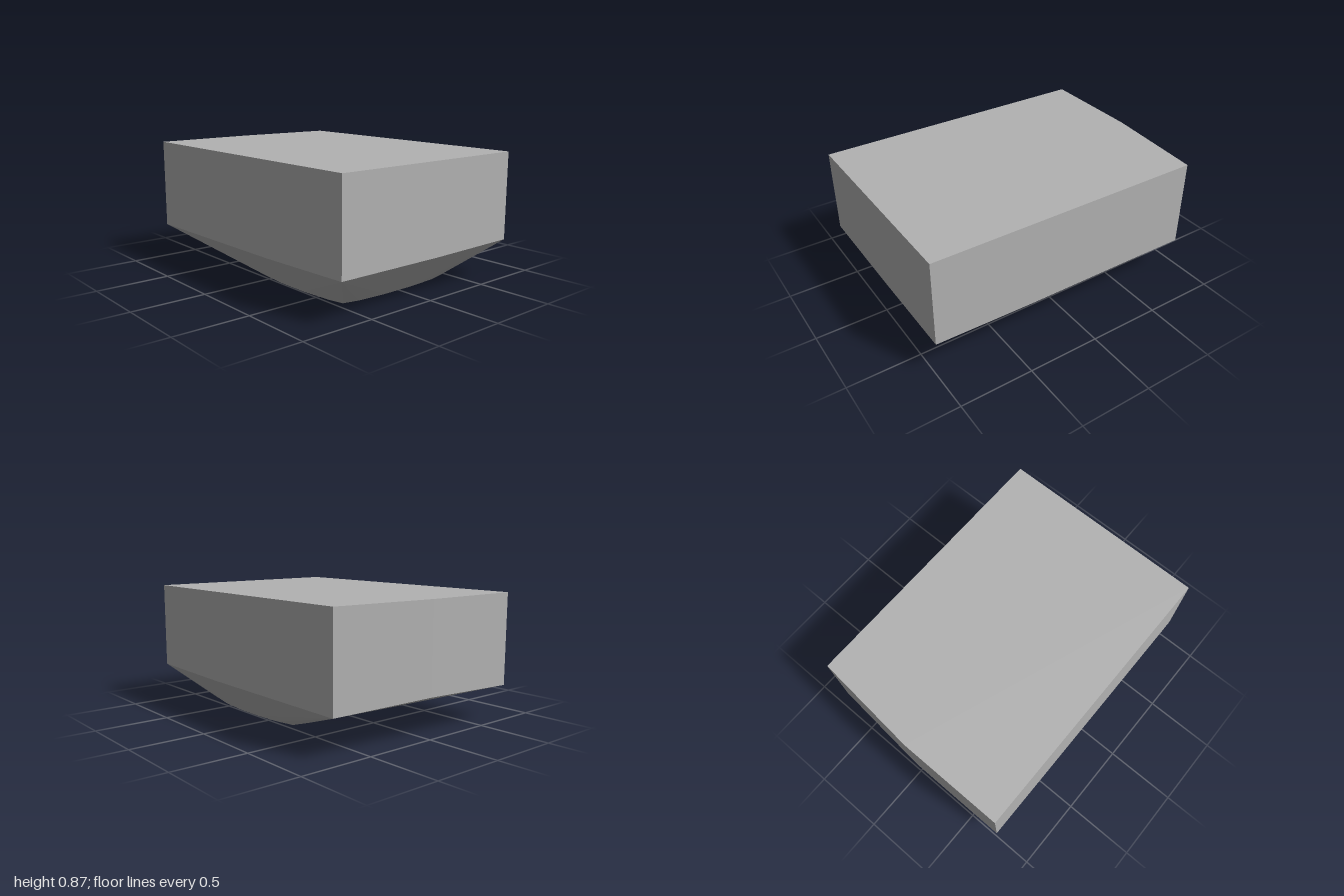
import * as THREE from 'three';
import { ConvexGeometry } from 'three/addons/geometries/ConvexGeometry.js';

export function createModel() {
  const group = new THREE.Group();
  group.name = 'facetedBlock';
  const grey = new THREE.MeshStandardMaterial({ color: 0xb2b2b2 });
  grey.name = 'plain grey';

  const points = [];
  const add = (x, y, z) => points.push(new THREE.Vector3(x, y, z));

  // Upright walls: [x, z, height of the lower edge], the back is bent in the middle
  const top = 0.865;
  const walls = [
    [-0.73, 1, 0.27], [0.73, 1, 0.27], [0.73, -0.94, 0.25],
    [0, -1, 0.265], [-0.73, -1, 0.24],
  ];
  for (const [x, z, low] of walls) {
    add(x, top, z);
    add(x, low, z);
  }
  // Slight sag along the lower front and side edges
  add(0.05, 0.265, 1);
  add(0.73, 0.256, 0.3);
  add(-0.73, 0.251, 0.3);

  // Flat base with bowed edges, mirrored left to right: [x, z]
  const base = [
    [0.12, 0.73], [0.33, 0.715], [0.445, 0.69], [0.47, 0.58], [0.49, 0.35],
    [0.49, 0.13], [0.475, -0.06], [0.445, -0.2], [0.33, -0.225], [0.12, -0.245],
  ];
  for (const side of [1, -1]) for (const [x, z] of base) add(side * x, 0, z);

  // One closed shell around walls and base
  const shell = new THREE.Mesh(new ConvexGeometry(points), grey);
  shell.name = 'shell';
  group.add(shell);
  return group;
}
